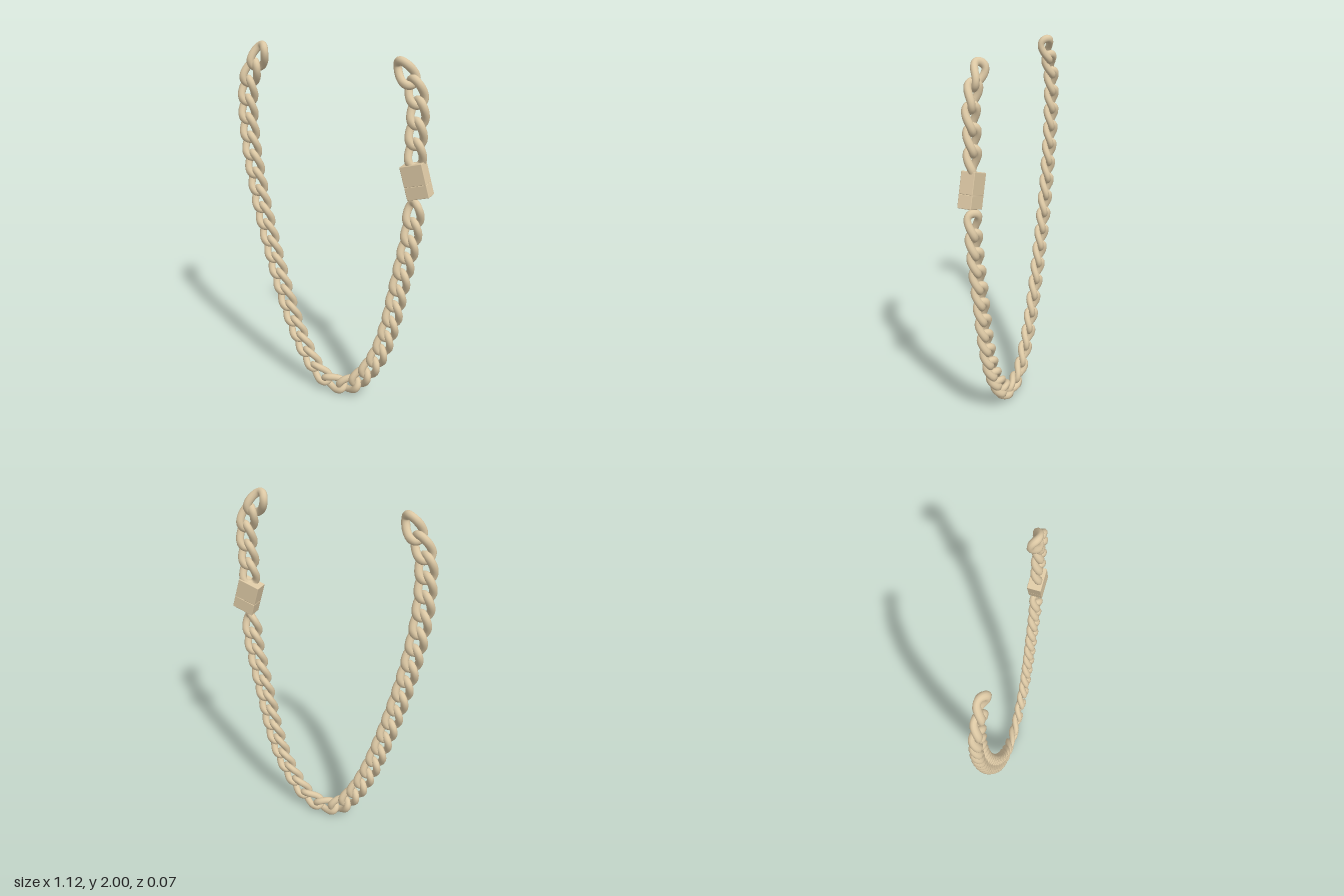
import * as THREE from 'three';
import { RoundedBoxGeometry } from 'three/addons/geometries/RoundedBoxGeometry.js';

const THICK = 0.029; // half thickness of the flattened chain

// One twisted oval link, long axis along y, faces pressed flat
function linkGeometry() {
  class LinkCurve extends THREE.Curve {
    getPoint(u, target = new THREE.Vector3()) {
      const t = u * Math.PI * 2;
      return target.set(0.037 * Math.cos(t), 0.064 * Math.sin(t), 0.018 * Math.sin(2 * t));
    }
  }
  const geo = new THREE.TubeGeometry(new LinkCurve(), 48, 0.021, 12, true);
  geo.scale(1, 1, 0.85);
  const pos = geo.attributes.position;
  for (let i = 0; i < pos.count; i++) {
    pos.setZ(i, THREE.MathUtils.clamp(pos.getZ(i), -THICK, THICK));
  }
  return geo;
}

// Place links evenly along a path, each turned to follow it
function chain(name, points, count, geo, material) {
  const group = new THREE.Group();
  group.name = name;
  const path = new THREE.CatmullRomCurve3(points.map(([x, y]) => new THREE.Vector3(x, y, 0)), false, 'centripetal');
  for (let i = 0; i < count; i++) {
    const u = i / (count - 1);
    const p = path.getPointAt(u);
    const d = path.getTangentAt(u);
    const link = new THREE.Mesh(geo, material);
    link.name = 'link';
    link.position.copy(p);
    link.rotation.z = Math.atan2(d.y, d.x) - Math.PI / 2;
    group.add(link);
  }
  return group;
}

export function createModel() {
  const model = new THREE.Group();
  model.name = 'chainNecklace';
  const material = new THREE.MeshStandardMaterial({ color: 0xdcc8a4 });
  const geo = linkGeometry();

  // Long strand: down the right side, round the bottom, up to the clasp
  model.add(chain('longStrand', [
    [-0.425, 1.93], [-0.488, 1.81], [-0.505, 1.64], [-0.495, 1.45], [-0.465, 1.24],
    [-0.43, 1.06], [-0.385, 0.87], [-0.325, 0.65], [-0.25, 0.42], [-0.17, 0.24],
    [-0.07, 0.1], [0.03, 0.062], [0.13, 0.09], [0.22, 0.19], [0.3, 0.34],
    [0.36, 0.54], [0.4, 0.76], [0.435, 0.95], [0.46, 1.1], [0.468, 1.215],
  ], 34, geo, material));

  // Short strand above the clasp
  model.add(chain('shortStrand', [
    [0.463, 1.53], [0.462, 1.65], [0.465, 1.76], [0.44, 1.86], [0.395, 1.92],
  ], 5, geo, material));

  // Box clasp in two halves that meet at a fine seam
  const clasp = new THREE.Group();
  clasp.name = 'clasp';
  for (const [name, y0, y1] of [['claspLower', -0.0875, -0.02], ['claspUpper', -0.02, 0.0875]]) {
    const half = new THREE.Mesh(new RoundedBoxGeometry(0.12, y1 - y0, 0.072, 2, 0.003), material);
    half.name = name;
    half.position.y = (y0 + y1) / 2;
    clasp.add(half);
  }
  clasp.position.set(0.476, 1.396, 0);
  clasp.rotation.z = 0.29;
  model.add(clasp);

  return model;
}
